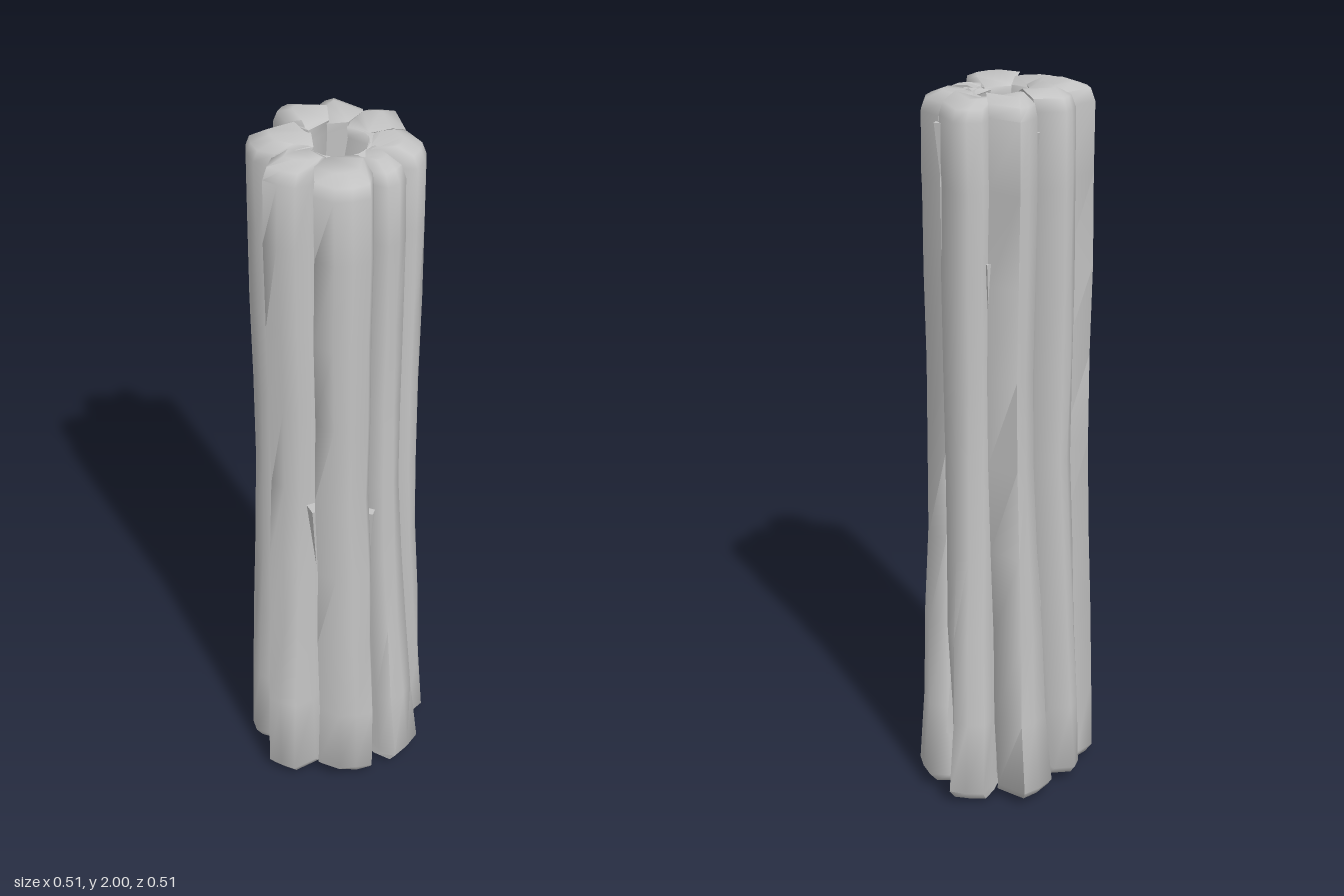
import * as THREE from 'three';
import { toCreasedNormals } from 'three/addons/utils/BufferGeometryUtils.js';

const rad = THREE.MathUtils.degToRad;
const lerp = THREE.MathUtils.lerp;

// Repeatable roughness in -1..1
function makeNoise(seed) {
  let s = seed;
  return () => {
    s = (s * 16807) % 2147483647;
    return (s / 2147483647) * 2 - 1;
  };
}

// Strands around the trunk, from the front towards the left: outer corners [x, z] at foot and top, end heights
const strands = [
  { foot: [[-0.115, 0.2], [-0.065, 0.243], [0.03, 0.256], [0.042, 0.2]],
    top: [[-0.118, 0.18], [-0.08, 0.224], [0.012, 0.228], [0.034, 0.18]], ends: [0.02, 1.98] },
  { foot: [[0.065, 0.205], [0.1, 0.243], [0.19, 0.175], [0.165, 0.13]],
    top: [[0.04, 0.15], [0.075, 0.175], [0.13, 0.142], [0.115, 0.095]], ends: [0.02, 1.97] },
  { foot: [[0.19, 0.08], [0.247, 0.045], [0.255, -0.06], [0.2, -0.085]],
    top: [[0.118, 0.105], [0.165, 0.12], [0.209, 0.055], [0.188, -0.015]], ends: [0.02, 1.975] },
  { foot: [[0.195, -0.1], [0.235, -0.155], [0.155, -0.208], [0.115, -0.175]],
    top: [[0.188, -0.02], [0.19, -0.115], [0.125, -0.145], [0.1, -0.13]], ends: [0.015, 1.98] },
  { foot: [[0.1, -0.18], [0.055, -0.26], [-0.05, -0.217], [-0.055, -0.18]],
    top: [[0.108, -0.135], [0.055, -0.212], [-0.005, -0.182], [-0.012, -0.16]], ends: [0.02, 1.99] },
  { foot: [[-0.08, -0.18], [-0.135, -0.195], [-0.173, -0.13], [-0.155, -0.1]],
    top: [[-0.01, -0.172], [-0.08, -0.197], [-0.122, -0.165], [-0.115, -0.105]], ends: [0.03, 2.0] },
  { foot: [[-0.19, -0.09], [-0.248, -0.065], [-0.256, 0.015], [-0.2, 0.062]],
    top: [[-0.12, -0.107], [-0.215, -0.085], [-0.216, 0.0], [-0.18, 0.03]], ends: [0.01, 1.99] },
  { foot: [[-0.2, 0.075], [-0.248, 0.127], [-0.19, 0.185], [-0.12, 0.165]],
    top: [[-0.185, 0.025], [-0.213, 0.07], [-0.148, 0.13], [-0.11, 0.125]], ends: [0, 1.98] },
];

// Outer corners at a height: flared at the foot, slightly pinched at the waist
function cornersAt(s, y) {
  const flare = Math.pow(Math.max(0, 1 - y / 1.2), 1.9);
  const pinch = 1 - 0.03 * Math.exp(-(((y - 1.05) / 0.35) ** 2));
  return s.top.map((t, i) => new THREE.Vector2(
    lerp(t[0], s.foot[i][0], flare) * pinch, lerp(t[1], s.foot[i][1], flare) * pinch));
}

// One strand: a wedge-shaped section with a blunt outer face, lofted up the trunk
function strandGeometry(s, seed) {
  const noise = makeNoise(seed);
  const [y0, y1] = s.ends;
  // height, pull-in of the rim, rise of the inner edge
  const levels = [
    [y0, 0.02, 0.015], [y0 + 0.025, 0, 0.02], [0.25, 0, 0], [0.5, 0, 0], [0.75, 0, 0], [1.0, 0, 0],
    [1.25, 0, 0], [1.5, 0, 0], [1.75, 0, 0], [y1 - 0.05, 0, 0], [y1 - 0.018, 0.012, 0], [y1, 0.055, -0.015],
  ];
  const n = 7;
  const pos = [], index = [];
  levels.forEach(([y, pull, rise]) => {
    const c = cornersAt(s, y);
    const face = c[1].clone().add(c[2]).multiplyScalar(0.5);
    const out = face.clone().normalize();
    const side = new THREE.Vector2(out.y, -out.x);
    const inner = 0.072 + 0.008 * noise();
    const edge = (t) => out.clone().multiplyScalar(inner).addScaledVector(side, t);
    const bulge = face.addScaledVector(out, 0.006 + 0.003 * noise());
    const section = [edge(-0.036), c[0], c[1], bulge, c[2], c[3], edge(0.036)];
    const drift = 0.004 * noise();
    section.forEach((p, i) => {
      const isInner = i === 0 || i === n - 1;
      if (!isInner) {
        p.addScaledVector(out, -pull + 0.002 * noise());
        p.addScaledVector(side, drift - pull * 0.25 * Math.sign(i - 3));
      }
      pos.push(p.x, y + (isInner ? rise : 0), p.y);
    });
  });
  for (let k = 0; k < levels.length - 1; k++) {
    for (let i = 0; i < n; i++) {
      const a = k * n + i, b = k * n + ((i + 1) % n);
      index.push(a, b, b + n, a, b + n, a + n);
    }
  }
  // End caps
  const last = (levels.length - 1) * n;
  for (let i = 1; i < n - 1; i++) {
    index.push(0, i + 1, i, last, last + i, last + i + 1);
  }
  const g = new THREE.BufferGeometry();
  g.setAttribute('position', new THREE.Float32BufferAttribute(pos, 3));
  g.setIndex(index);
  return toCreasedNormals(g, rad(72));
}

export function createModel() {
  const model = new THREE.Group();
  model.name = 'hollowTrunk';
  const bark = new THREE.MeshStandardMaterial({ color: 0xc4c4c4, side: THREE.DoubleSide });
  bark.name = 'paleGreyBark';

  const add = (name, geometry, parent = model) => {
    const mesh = new THREE.Mesh(geometry, bark);
    mesh.name = name;
    parent.add(mesh);
    return mesh;
  };

  // Trunk strands
  strands.forEach((s, i) => add('barkStrand' + (i + 1), strandGeometry(s, 811 + i * 977)));

  // Wall that fills the grooves and the ends between strands, around the open hollow
  const wall = [[0.078, 0.045], [0.15, 0.04], [0.165, 0.06], [0.15, 0.5], [0.143, 1], [0.146, 1.9],
    [0.132, 1.955], [0.078, 1.965]].map((p) => new THREE.Vector2(...p));
  add('grooveWall', toCreasedNormals(new THREE.LatheGeometry(wall, 16), rad(50)));

  // Splinters lodged in the grooves: strand before the groove, height, length, wide end up
  const splinters = new THREE.Group();
  splinters.name = 'splinters';
  model.add(splinters);
  [[0, 0.8, 0.24, true], [1, 0.95, 0.4, false], [1, 0.14, 0.18, false], [2, 0.3, 0.25, false],
    [3, 1.42, 0.28, true], [4, 0.7, 0.25, false], [5, 0.9, 0.3, true], [6, 1.3, 0.35, false],
    [7, 0.85, 0.2, true], [2, 1.8, 0.22, true], [4, 1.8, 0.2, true]].forEach(([i, y, len, wideUp], k) => {
    const p = cornersAt(strands[i], y)[3].add(cornersAt(strands[(i + 1) % 8], y)[0]).multiplyScalar(0.5);
    const geometry = new THREE.ConeGeometry(0.026, len, 4).toNonIndexed();
    geometry.computeVertexNormals();
    const splinter = add('splinter' + (k + 1), geometry, splinters);
    p.setLength(p.length() - 0.01);
    splinter.position.set(p.x, y, p.y);
    splinter.rotation.set(wideUp ? Math.PI : 0, Math.atan2(p.x, p.y), 0, 'YXZ');
  });

  // Broken slats inside the hollow
  const slat = (name, size, at, turn) => {
    const mesh = add(name, new THREE.BoxGeometry(...size));
    mesh.position.set(...at);
    mesh.rotation.set(...turn);
  };
  slat('crossSlat', [0.15, 0.16, 0.02], [0.01, 1.7, -0.01], [0.08, -0.1, 0.12]);
  slat('uprightSlat', [0.04, 1.2, 0.09], [-0.045, 1.3, 0.05], [0, 0.15, 0.02]);
  slat('backSlat', [0.06, 0.5, 0.03], [-0.03, 1.55, -0.055], [0, 0.2, -0.03]);

  return model;
}
